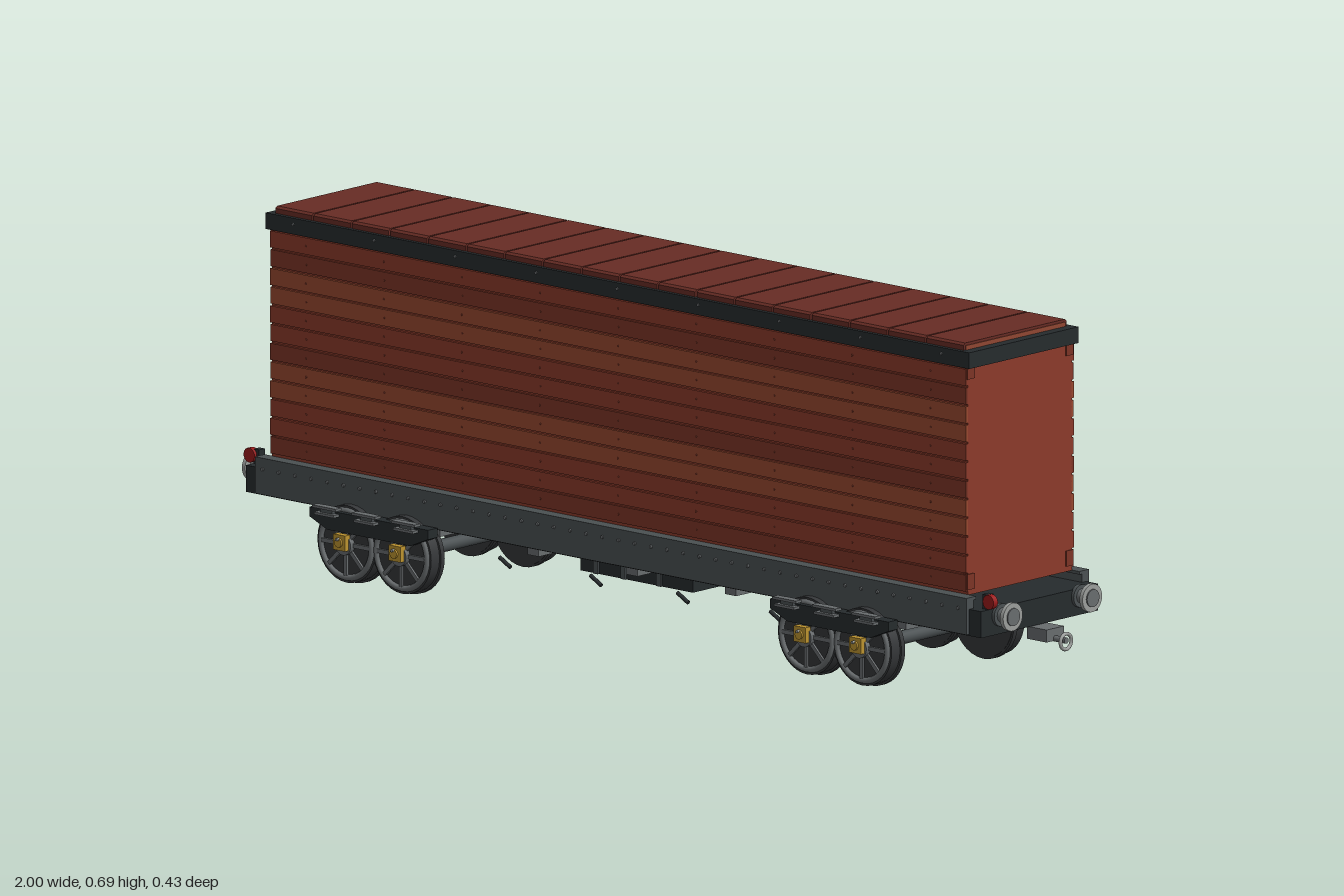
import * as THREE from 'three';

const mat = (color) => new THREE.MeshStandardMaterial({ color });
const M = {
  red: mat(0x8b3a2a), redLight: mat(0x97482f), redDark: mat(0x7c3426), roof: mat(0x672c24), seam: mat(0x8f4632),
  dark: mat(0x262b2d), grey: mat(0x4a5052), wheel: mat(0x353739), steel: mat(0x686c6e),
  pale: mat(0x9a9d9b), brass: mat(0xbd9430), lamp: mat(0x991b1b),
};

export function createModel() {
  const root = new THREE.Group();
  root.name = 'boxcar';

  const add = (parent, name, geo, m, x = 0, y = 0, z = 0) => {
    const mesh = new THREE.Mesh(geo, m);
    mesh.name = name;
    mesh.position.set(x, y, z);
    parent.add(mesh);
    return mesh;
  };
  // Box given by its limits on each axis
  const box = (parent, name, m, x0, x1, y0, y1, z0, z1) =>
    add(parent, name, new THREE.BoxGeometry(x1 - x0, y1 - y0, z1 - z0), m, (x0 + x1) / 2, (y0 + y1) / 2, (z0 + z1) / 2);
  const cyl = (parent, name, m, axis, r, len, x, y, z, seg = 24) => {
    const g = new THREE.CylinderGeometry(r, r, len, seg);
    if (axis === 'x') g.rotateZ(-Math.PI / 2);
    if (axis === 'z') g.rotateX(Math.PI / 2);
    return add(parent, name, g, m, x, y, z);
  };
  const group = (name, parent = root) => {
    const g = new THREE.Group();
    g.name = name;
    parent.add(g);
    return g;
  };

  // Body shell with horizontal planks, bolts and corner brackets
  const body = group('body');
  box(body, 'bodyShell', M.red, -0.88, 0.88, 0.205, 0.645, -0.144, 0.144);
  const planks = 12, y0 = 0.21, pitch = 0.43 / planks;
  const tones = [M.redDark, M.red, M.redLight, M.red, M.redLight];
  for (const s of [1, -1]) {
    for (let i = 0; i < planks; i++) {
      const y = y0 + (i + 0.5) * pitch;
      const depth = i % 2 ? 0.006 : 0.005;
      add(body, 'sidePlank', new THREE.BoxGeometry(1.76, pitch - 0.004, depth), tones[(i * 3) % 5], 0, y, s * (0.1435 + depth / 2));
      for (let k = 0; k < 9; k++)
        cyl(body, 'plankBolt', M.redDark, 'z', 0.002, 0.002, -0.79 + k * 0.1975, y, s * (0.144 + depth), 6);
    }
    for (const e of [1, -1])
      for (const y of [0.23, 0.633])
        add(body, 'cornerBracket', new THREE.BoxGeometry(0.012, 0.03, 0.02), M.redDark, e * 0.876, y, s * 0.137);
  }

  // Eave band around the top
  const eaves = group('eaves');
  for (const s of [1, -1]) {
    add(eaves, 'sideBand', new THREE.BoxGeometry(1.78, 0.031, 0.014), M.dark, 0, 0.656, s * 0.1445);
    add(eaves, 'endBand', new THREE.BoxGeometry(0.024, 0.031, 0.29), M.dark, s * 0.878, 0.656, 0);
    for (let k = 0; k < 9; k++)
      cyl(eaves, 'bandBolt', M.steel, 'z', 0.003, 0.004, -0.82 + k * 0.205, 0.66, s * 0.152, 8);
  }

  // Roof made of cross boards over a lighter seam layer
  const roof = group('roof');
  box(roof, 'roofBase', M.seam, -0.875, 0.87, 0.64, 0.68, -0.138, 0.138);
  const profile = new THREE.Shape([[-0.143, 0.67], [0.143, 0.67], [0.143, 0.681], [0.138, 0.685], [-0.138, 0.685], [-0.143, 0.681]]
    .map(([x, y]) => new THREE.Vector2(x, y)));
  const boards = 18, boardPitch = 1.745 / boards;
  for (let i = 0; i < boards; i++) {
    const g = new THREE.ExtrudeGeometry(profile, { depth: boardPitch - 0.004, bevelEnabled: false });
    g.rotateY(Math.PI / 2);
    add(roof, 'roofBoard', g, M.roof, -0.873 + i * boardPitch);
  }

  // Underframe: deck, riveted sills, cross beams and equipment box
  const frame = group('underframe');
  box(frame, 'deck', M.dark, -0.93, 0.93, 0.133, 0.184, -0.162, 0.162);
  for (const s of [1, -1]) {
    add(frame, 'sideSill', new THREE.BoxGeometry(1.8, 0.07, 0.02), M.grey, 0, 0.171, s * 0.16);
    add(frame, 'sillTopFlange', new THREE.BoxGeometry(1.8, 0.006, 0.027), M.grey, 0, 0.203, s * 0.1565);
    for (let i = 0; i < 44; i++)
      cyl(frame, 'sillRivet', M.steel, 'z', 0.0035, 0.004, -0.88 + i * (1.76 / 43), 0.185, s * 0.171, 6);
  }
  for (const x of [-0.72, -0.46, -0.21, 0.04, 0.29, 0.46, 0.72])
    box(frame, 'crossBeam', M.steel, x - 0.014, x + 0.014, 0.118, 0.135, -0.155, 0.155);
  box(frame, 'equipmentBox', M.dark, -0.145, 0.14, 0.09, 0.134, -0.095, 0.095);
  for (const s of [1, -1])
    for (const x of [-0.11, -0.04, 0.05])
      box(frame, 'boxStrap', M.grey, x, x + 0.012, 0.09, 0.133, s * 0.097 - 0.002, s * 0.097 + 0.002);
  for (const x of [-0.31, -0.08, 0.14, 0.375])
    cyl(frame, 'brakeRod', M.dark, 'x', 0.004, 0.032, x, 0.085, 0.123, 8).rotation.z = -0.5;

  // Spoked wheel, facing +z or -z according to s
  const wheel = (parent, x, s) => {
    const w = group('wheel', parent);
    w.position.set(x, 0.078, 0);
    cyl(w, 'wheelDisc', M.wheel, 'z', 0.074, 0.034, 0, 0, s * 0.167, 32);
    cyl(w, 'wheelFlange', M.wheel, 'z', 0.078, 0.01, 0, 0, s * 0.156, 32);
    add(w, 'wheelRim', new THREE.TorusGeometry(0.064, 0.006, 8, 32), M.steel, 0, 0, s * 0.184);
    for (let i = 0; i < 8; i++) {
      const a = (i * Math.PI) / 4;
      add(w, 'spoke', new THREE.BoxGeometry(0.05, 0.008, 0.007), M.steel,
        Math.cos(a) * 0.038, Math.sin(a) * 0.038, s * 0.185).rotation.z = a;
    }
    cyl(w, 'wheelHub', M.steel, 'z', 0.02, 0.014, 0, 0, s * 0.188);
    // Brass axle box and bolt
    add(w, 'axleBox', new THREE.BoxGeometry(0.03, 0.03, 0.014), M.brass, 0, 0.006, s * 0.198);
    cyl(w, 'axleCap', M.brass, 'z', 0.009, 0.006, 0, 0.006, s * 0.206, 12);
    cyl(w, 'axleBolt', M.pale, 'z', 0.003, 0.007, 0, 0.013, s * 0.21, 8);
  };

  // Two bogies
  for (const cx of [-0.585, 0.58]) {
    const b = group('bogie');
    b.position.x = cx;
    box(b, 'bolster', M.dark, -0.035, 0.035, 0.1, 0.135, -0.15, 0.15);
    for (const x of [-0.07, 0.07]) {
      cyl(b, 'axle', M.grey, 'z', 0.013, 0.38, x, 0.078, 0, 16);
      for (const s of [1, -1]) wheel(b, x, s);
    }
    for (const s of [1, -1]) {
      const side = new THREE.Shape([[-0.15, 0.14], [-0.15, 0.122], [-0.105, 0.103], [0.105, 0.103], [0.15, 0.122], [0.15, 0.14]]
        .map(([x, y]) => new THREE.Vector2(x, y)));
      add(b, 'sideFrame', new THREE.ExtrudeGeometry(side, { depth: 0.026, bevelEnabled: false }), M.dark, 0, 0, s * 0.187 - 0.013);
      for (const x of [-0.1, 0, 0.1]) {
        add(b, 'springPlate', new THREE.BoxGeometry(0.06, 0.005, 0.016), M.steel, x, 0.147, s * 0.207);
        add(b, 'springPlate', new THREE.BoxGeometry(0.05, 0.005, 0.016), M.steel, x, 0.134, s * 0.207);
        add(b, 'springBlock', new THREE.BoxGeometry(0.03, 0.018, 0.012), M.grey, x, 0.14, s * 0.202);
      }
    }
  }

  // Buffers, couplers and lamps at both ends
  for (const e of [1, -1]) {
    const end = group('endFittings');
    for (const s of [1, -1]) {
      cyl(end, 'bufferBase', M.grey, 'x', 0.022, 0.008, e * 0.932, 0.17, s * 0.11);
      cyl(end, 'bufferShank', M.steel, 'x', 0.014, 0.03, e * 0.943, 0.17, s * 0.11);
      cyl(end, 'bufferHead', M.pale, 'x', 0.027, 0.008, e * 0.959, 0.17, s * 0.11, 32);
      cyl(end, 'bufferFace', M.steel, 'x', 0.017, 0.004, e * 0.9635, 0.17, s * 0.11);
    }
    add(end, 'couplerBox', new THREE.BoxGeometry(0.05, 0.024, 0.048), M.steel, e * 0.945, 0.12, 0);
    cyl(end, 'couplerBar', M.steel, 'x', 0.006, 0.04, e * 0.978, 0.112, 0, 12);
    add(end, 'couplerRing', new THREE.TorusGeometry(0.015, 0.0035, 10, 24), M.pale, e * 0.9965, 0.11, 0).rotation.y = Math.PI / 2;
    add(end, 'lampBracket', new THREE.BoxGeometry(0.014, 0.03, 0.016), M.dark, e * 0.922, 0.197, 0.134);
    cyl(end, 'lamp', M.lamp, 'z', 0.014, 0.012, e * 0.935, 0.2, 0.142, 16);
  }
  return root;
}
